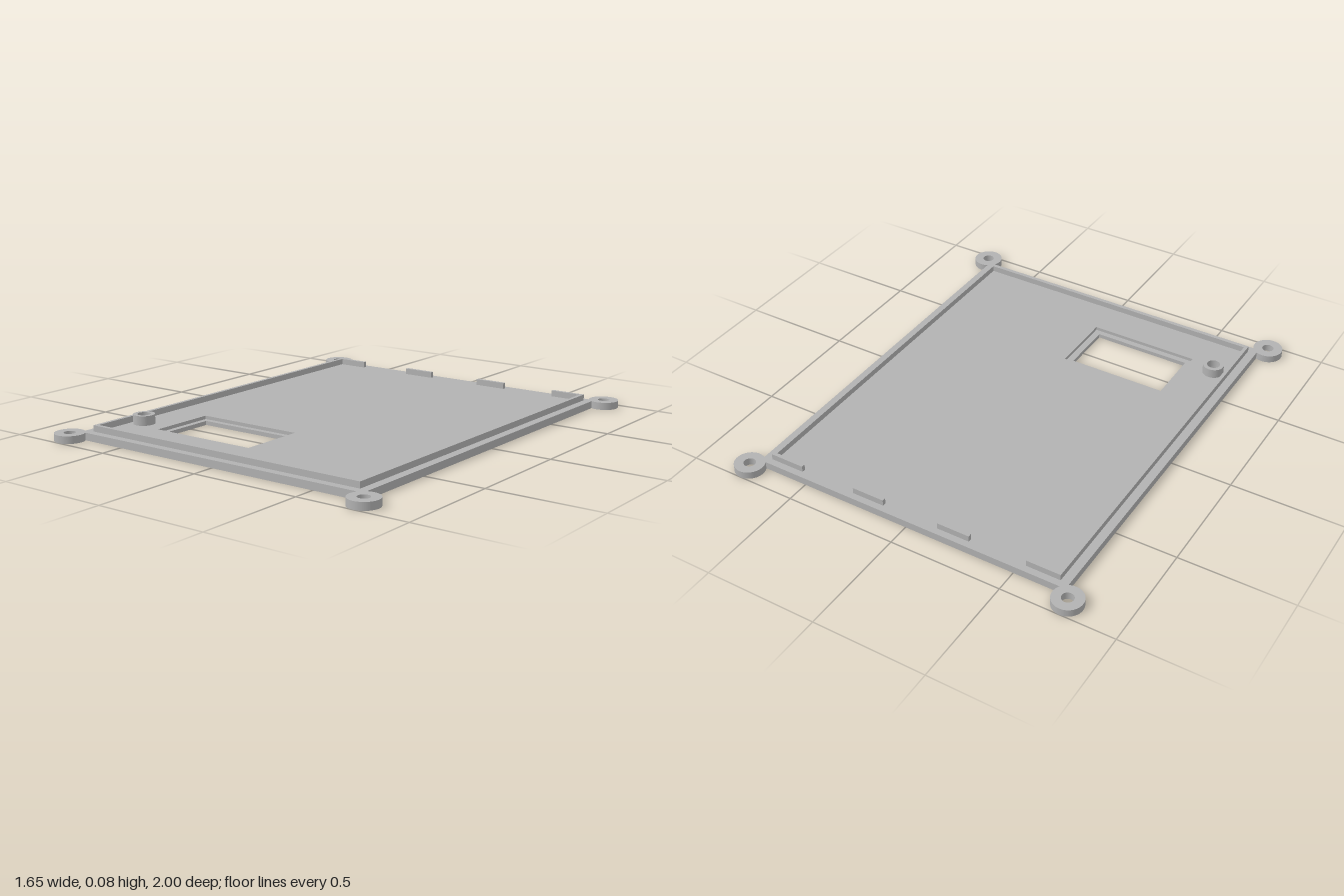
import * as THREE from 'three';

const HALF_W = 0.73, HALF_D = 0.90;            // plate half sizes
const EAR_X = 0.76, EAR_Z = 0.935, EAR_R = 0.066, HOLE_R = 0.026;
const PLATE = 0.033, LEDGE = 0.018, RIM_TOP = 0.06, BOSS_TOP = 0.075;
const BOSS = { x: -0.62, z: 0.637, r: 0.047, hole: 0.029 };

// Shapes are drawn in (x, -z) and extruded upwards
function slab(shape, y0, y1) {
  const g = new THREE.ExtrudeGeometry(shape, { depth: y1 - y0, bevelEnabled: false, curveSegments: 40 });
  return g.rotateX(-Math.PI / 2).translate(0, y0, 0);
}

function circle(x, z, r, Type = THREE.Path) {
  const p = new Type();
  p.absarc(x, -z, r, 0, Math.PI * 2, false);
  return p;
}

function rect(x0, x1, z0, z1) {
  return new THREE.Path([[x0, -z0], [x0, -z1], [x1, -z1], [x1, -z0]].map(p => new THREE.Vector2(...p)));
}

// Plate outline with a round screw ear on each corner
function plateShape(windowPath) {
  const s = new THREE.Shape();
  const ex = EAR_X - HALF_W, ez = EAR_Z - HALF_D;
  const dz = Math.sqrt(EAR_R ** 2 - ex ** 2), dx = Math.sqrt(EAR_R ** 2 - ez ** 2);
  [[1, 1], [-1, 1], [-1, -1], [1, -1]].forEach(([sx, sy], i) => {
    const onSide = Math.atan2(-sy * dz, -sx * ex);
    const onEnd = Math.atan2(-sy * ez, -sx * dx);
    const [a, b] = i % 2 ? [onEnd, onSide] : [onSide, onEnd];
    s.absarc(sx * EAR_X, sy * EAR_Z, EAR_R, a, b, false);
    s.holes.push(circle(sx * EAR_X, -sy * EAR_Z, HOLE_R));
  });
  s.closePath();
  s.holes.push(windowPath, circle(BOSS.x, BOSS.z, BOSS.hole));
  return s;
}

export function createModel() {
  const group = new THREE.Group();
  const grey = new THREE.MeshStandardMaterial({ color: 0xb2b2b2 });
  grey.name = 'grey plastic';
  const add = (name, geometry) => {
    const m = new THREE.Mesh(geometry, grey);
    m.name = name;
    group.add(m);
  };

  // Plate in two layers: the wider upper window leaves a recessed ledge
  add('lowerPlate', slab(plateShape(rect(-0.475, -0.03, 0.405, 0.652)), 0, LEDGE));
  add('upperPlate', slab(plateShape(rect(-0.5, 0, 0.38, 0.678)), LEDGE, PLATE));

  // Three-sided locating rim, open at the back
  const xo = 0.692, xi = 0.676, zo = 0.865, zi = 0.847, zb = -0.87;
  const rim = new THREE.Shape([
    [-xo, -zb], [-xo, -zo], [xo, -zo], [xo, -zb],
    [xi, -zb], [xi, -zi], [-xi, -zi], [-xi, -zb],
  ].map(p => new THREE.Vector2(...p)));
  add('rim', slab(rim, PLATE, RIM_TOP));

  // Short tabs along the back edge
  [[-0.69, -0.54], [-0.28, -0.132], [0.128, 0.276], [0.534, 0.69]].forEach(([x0, x1], i) => {
    const g = new THREE.BoxGeometry(x1 - x0, RIM_TOP - PLATE, 0.017);
    add(`backTab${i + 1}`, g.translate((x0 + x1) / 2, (PLATE + RIM_TOP) / 2, -0.8615));
  });

  // Hollow boss around the button hole
  const boss = circle(BOSS.x, BOSS.z, BOSS.r, THREE.Shape);
  boss.holes.push(circle(BOSS.x, BOSS.z, BOSS.hole));
  add('buttonBoss', slab(boss, PLATE, BOSS_TOP));

  return group;
}
